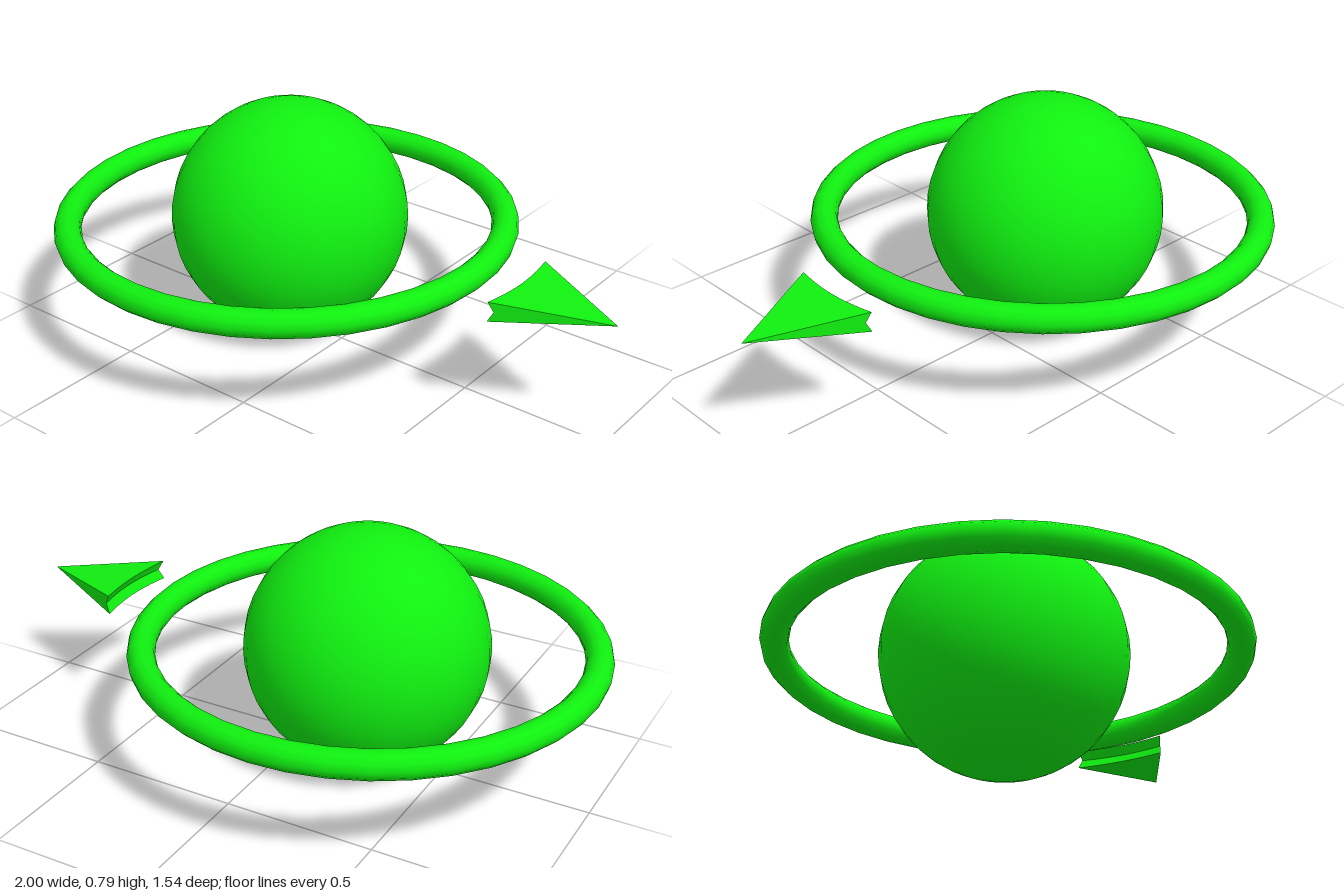
import * as THREE from 'three';

const material = new THREE.MeshStandardMaterial({ color: 0x10f010 });

function add(group, name, geometry, x, y, z, mat = material) {
  const mesh = new THREE.Mesh(geometry, mat);
  mesh.name = name;
  mesh.position.set(x, y, z);
  group.add(mesh);
  return mesh;
}

// Four-sided pointer along +x, tip at the origin, with a hollowed back
function pointerGeometry(length, halfHeight, halfWidth, dent) {
  const cols = 10, rows = 2, pos = [];
  const tip = [0, 0, 0];
  const point = (i, j) => {
    const u = (i / cols) * 2 - 1, v = (j / rows) * 2 - 1;
    const back = length - dent * (1 - u * u) - dent * (1 - v * v);
    const taper = back / length;
    return [-back, v * halfHeight * taper, u * halfWidth * taper];
  };
  const tri = (a, b, c) => pos.push(...a, ...b, ...c);
  // hollow back
  for (let i = 0; i < cols; i++) {
    for (let j = 0; j < rows; j++) {
      const a = point(i, j), b = point(i + 1, j), c = point(i + 1, j + 1), d = point(i, j + 1);
      tri(a, b, c);
      tri(a, c, d);
    }
  }
  // flat faces running to the tip
  for (let i = 0; i < cols; i++) {
    tri(point(i + 1, 0), point(i, 0), tip);
    tri(point(i, rows), point(i + 1, rows), tip);
  }
  for (let j = 0; j < rows; j++) {
    tri(point(cols, j + 1), point(cols, j), tip);
    tri(point(0, j), point(0, j + 1), tip);
  }
  const geometry = new THREE.BufferGeometry();
  geometry.setAttribute('position', new THREE.Float32BufferAttribute(pos, 3));
  geometry.computeVertexNormals();
  return geometry;
}

export function createModel() {
  const group = new THREE.Group();
  group.name = 'ringedBallWithPointer';

  // ball
  add(group, 'ball', new THREE.SphereGeometry(0.395, 32, 24), -0.23, 0.398, -0.015);

  // ring lying flat around the ball
  const ring = new THREE.TorusGeometry(0.726, 0.045, 12, 40).rotateX(Math.PI / 2);
  add(group, 'ring', ring, -0.23, 0.4, 0);

  // pointer beside the ring
  const flat = material.clone();
  flat.flatShading = true;
  add(group, 'pointer', pointerGeometry(0.345, 0.033, 0.163, 0.017), 1, 0.4, -0.022, flat);

  return group;
}
